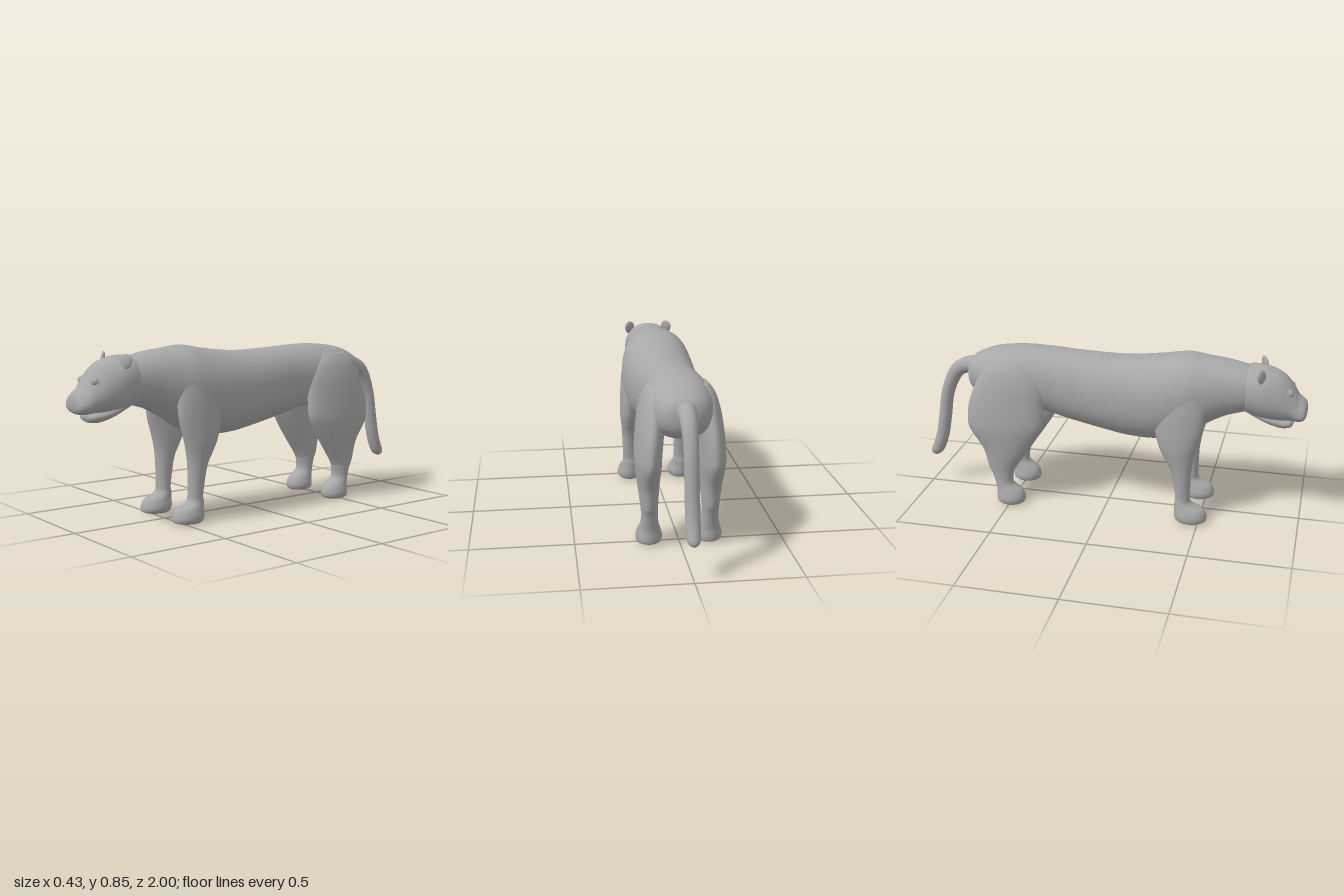
import * as THREE from 'three';

// Smooth interpolation of a table of cross-section values
function smooth(keys, steps) {
  const rows = [], last = keys.length - 1;
  for (let i = 0; i < last; i++) {
    for (let s = 0; s < steps; s++) {
      const t = s / steps;
      const [a, b, c, d] = [keys[Math.max(i - 1, 0)], keys[i], keys[i + 1], keys[Math.min(i + 2, last)]];
      rows.push(b.map((_, k) => b[k] + 0.5 * t * (c[k] - a[k]
        + t * (2 * a[k] - 5 * b[k] + 4 * c[k] - d[k] + t * (3 * (b[k] - c[k]) + d[k] - a[k])))));
    }
  }
  rows.push(keys[last]);
  return rows;
}

// Closed skin over cross-sections; point(row, cos, sin) places each vertex
function loft(rows, point, sides = 40) {
  const pos = [], idx = [], n = rows.length;
  for (const row of rows) {
    for (let j = 0; j < sides; j++) {
      const a = (j / sides) * Math.PI * 2;
      pos.push(...point(row, Math.cos(a), Math.sin(a)));
    }
  }
  pos.push(...point(rows[0], 0, 0), ...point(rows[n - 1], 0, 0));
  const start = n * sides, end = start + 1;
  for (let j = 0; j < sides; j++) {
    const k = (j + 1) % sides;
    for (let i = 0; i < n - 1; i++) {
      const p = i * sides, q = p + sides;
      idx.push(p + j, p + k, q + k, p + j, q + k, q + j);
    }
    idx.push(start, k, j, end, (n - 1) * sides + j, (n - 1) * sides + k);
  }
  const geo = new THREE.BufferGeometry();
  geo.setAttribute('position', new THREE.Float32BufferAttribute(pos, 3));
  geo.setIndex(idx);
  geo.computeVertexNormals();
  return geo;
}

// Rounded-square version of a cosine or sine
const soft = (v, n) => Math.sign(v) * Math.abs(v) ** (2 / n);

// Section across z: [z, top, bottom, half width, narrowing towards the top]
const acrossZ = (n) => ([z, top, bottom, hw, taper = 0], c, s) => {
  const v = soft(s, n);
  return [hw * soft(c, n) * (1 - taper * v), (top + bottom) / 2 + (v * (top - bottom)) / 2, z];
};

// Section across y: [y, centre z, half depth, centre x, half width]
const acrossY = (side) => ([y, cz, hz, cx, hx], c, s) => [side * cx + hx * s, y, cz + hz * c];

export function createModel() {
  const model = new THREE.Group();
  const coat = new THREE.MeshStandardMaterial({ color: 0xa8a8a8 });
  coat.name = 'grey coat';
  const add = (name, geo, parent = model) => {
    const mesh = new THREE.Mesh(geo, coat);
    mesh.name = name;
    parent.add(mesh);
    return mesh;
  };

  // Torso from rump to neck
  add('torso', loft(smooth([
    [-0.745, 0.71, 0.64, 0.02], [-0.735, 0.735, 0.61, 0.065], [-0.7, 0.768, 0.575, 0.11],
    [-0.6, 0.807, 0.54, 0.15], [-0.45, 0.826, 0.51, 0.16], [-0.3, 0.826, 0.485, 0.153],
    [-0.2, 0.82, 0.46, 0.156], [0, 0.812, 0.42, 0.174], [0.13, 0.816, 0.4, 0.183],
    [0.27, 0.833, 0.4, 0.19], [0.4, 0.853, 0.435, 0.184], [0.5, 0.843, 0.495, 0.16],
    [0.6, 0.832, 0.55, 0.137], [0.71, 0.81, 0.585, 0.118],
  ], 6), acrossZ(2.2), 48));

  // Head with a muzzle that is broad at the lips
  const head = new THREE.Group();
  head.name = 'head';
  model.add(head);
  add('skull and muzzle', loft(smooth([
    [0.7, 0.81, 0.59, 0.118, 0], [0.71, 0.818, 0.577, 0.124, 0], [0.75, 0.82, 0.56, 0.13, 0],
    [0.8, 0.814, 0.55, 0.13, 0.02], [0.86, 0.793, 0.55, 0.118, 0.12], [0.9, 0.763, 0.554, 0.104, 0.22],
    [0.93, 0.725, 0.554, 0.094, 0.26], [0.955, 0.686, 0.553, 0.088, 0.3], [0.98, 0.665, 0.558, 0.08, 0.3],
    [0.994, 0.648, 0.572, 0.064, 0.28], [1, 0.625, 0.595, 0.03, 0.2],
  ], 6), acrossZ(2.15)), head);
  add('lower jaw', loft(smooth([
    [0.7, 0.62, 0.585, 0.07], [0.8, 0.6, 0.535, 0.086], [0.87, 0.58, 0.512, 0.08],
    [0.91, 0.57, 0.512, 0.072], [0.93, 0.56, 0.52, 0.055], [0.938, 0.55, 0.535, 0.02],
  ], 5), acrossZ(2)), head);

  // Legs, eyes and ears in mirrored pairs
  const frontLeg = smooth([
    [0, 0.455, 0.06, 0.144, 0.05], [0.01, 0.46, 0.079, 0.144, 0.063], [0.035, 0.458, 0.083, 0.144, 0.067],
    [0.07, 0.449, 0.074, 0.144, 0.056], [0.1, 0.42, 0.045, 0.143, 0.044], [0.14, 0.416, 0.038, 0.143, 0.04],
    [0.27, 0.405, 0.051, 0.145, 0.044], [0.34, 0.392, 0.073, 0.146, 0.049], [0.4, 0.384, 0.094, 0.147, 0.053],
    [0.5, 0.385, 0.12, 0.146, 0.051], [0.6, 0.39, 0.12, 0.14, 0.05], [0.7, 0.4, 0.1, 0.125, 0.047],
    [0.78, 0.4, 0.05, 0.11, 0.03],
  ], 5);
  const hindLeg = smooth([
    [0, -0.495, 0.055, 0.145, 0.05], [0.01, -0.498, 0.072, 0.145, 0.061], [0.035, -0.498, 0.076, 0.145, 0.064],
    [0.07, -0.505, 0.068, 0.145, 0.055], [0.11, -0.532, 0.049, 0.145, 0.043], [0.16, -0.539, 0.056, 0.146, 0.04],
    [0.2, -0.541, 0.073, 0.147, 0.042], [0.3, -0.52, 0.12, 0.149, 0.052], [0.4, -0.52, 0.184, 0.15, 0.062],
    [0.46, -0.515, 0.202, 0.149, 0.064], [0.55, -0.51, 0.198, 0.142, 0.065], [0.65, -0.495, 0.178, 0.13, 0.064],
    [0.73, -0.49, 0.14, 0.115, 0.055], [0.78, -0.49, 0.08, 0.1, 0.035],
  ], 5);
  for (const [side, label] of [[1, 'left'], [-1, 'right']]) {
    add(`${label} front leg`, loft(frontLeg, acrossY(side)));
    add(`${label} hind leg`, loft(hindLeg, acrossY(side)));

    add(`${label} eye`, new THREE.SphereGeometry(0.019, 20, 14), head).position.set(side * 0.063, 0.707, 0.911);
    const lid = add(`${label} eyelid`, new THREE.TorusGeometry(0.019, 0.005, 8, 24), head);
    lid.position.set(side * 0.064, 0.707, 0.914);
    lid.rotation.set(-0.35, side * 0.6, 0, 'YXZ');

    // Cupped round ear, turned outwards
    const ear = add(`${label} ear`, new THREE.SphereGeometry(1, 24, 16), head);
    ear.scale.set(0.031, 0.036, 0.011);
    ear.position.set(side * 0.105, 0.796, 0.773);
    ear.rotation.set(-0.1, side * 0.55, side * -0.25, 'YXZ');
  }

  // Drooping tail: [y, z, radius] swept along its curve
  const tail = smooth([
    [0.7, -0.69, 0.052], [0.697, -0.76, 0.043], [0.655, -0.825, 0.038], [0.54, -0.878, 0.034],
    [0.4, -0.903, 0.034], [0.29, -0.924, 0.034], [0.215, -0.95, 0.033], [0.19, -0.968, 0.03],
    [0.181, -0.985, 0.022], [0.178, -0.997, 0.006],
  ], 5);
  const frames = tail.map(([y, z, r], i) => {
    const a = tail[Math.max(i - 1, 0)], b = tail[Math.min(i + 1, tail.length - 1)];
    const len = Math.hypot(b[0] - a[0], b[1] - a[1]);
    return [y, z, r, (b[0] - a[0]) / len, (b[1] - a[1]) / len];
  });
  add('tail', loft(frames, ([y, z, r, ty, tz], c, s) => [r * c, y + r * s * tz, z - r * s * ty], 24));

  return model;
}
